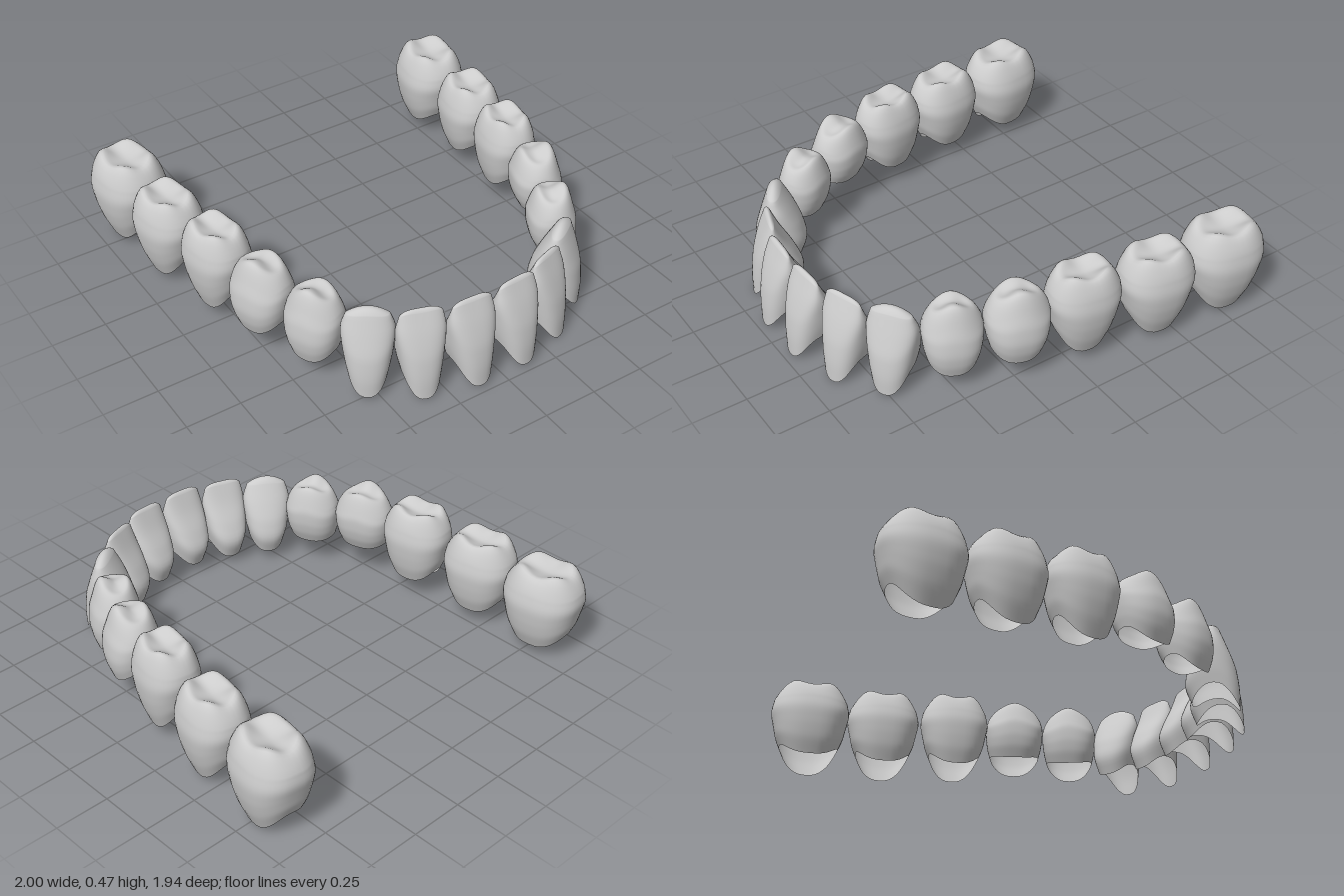
import * as THREE from 'three';
import { mergeVertices } from 'three/addons/utils/BufferGeometryUtils.js';

const SEG = 40;
const V = (w, out, inn) => new THREE.Vector3(w, out, inn);
const bump = (u, v, cu, cv, s) => Math.exp(-((u - cu) ** 2 + (v - cv) ** 2) / s);
const signedPow = (a, p) => Math.sign(a) * Math.abs(a) ** p;

// Per tooth type: cross-sections from neck to biting edge (half width, reach
// outward, reach inward), relief of the biting surface, squareness of outline.
const KINDS = {
  incisor: {
    rows: [V(0.78, 1, 0.78), V(0.91, 0.98, 1), V(0.98, 0.87, 0.74), V(1, 0.62, 0.32), V(0.87, 0.28, -0.02)],
    relief: (u, v) => -0.025 * u ** 4 - 0.014 * v * v,
    power: 0.86,
    sideRise: 0.1,
  },
  canine: {
    rows: [V(0.78, 0.98, 0.78), V(0.91, 1, 1), V(0.98, 0.92, 0.86), V(1, 0.68, 0.54), V(0.83, 0.4, 0.16)],
    relief: (u, v) => -0.035 * u * u - 0.025 * v * v,
    power: 0.88,
    sideRise: 0.1,
  },
  premolar: {
    rows: [V(0.84, 0.74, 0.62), V(0.93, 0.93, 0.85), V(0.98, 1, 0.97), V(1, 0.95, 1), V(0.93, 0.78, 0.89)],
    relief: (u, v) => {
      const r = Math.hypot(u, v);
      return -0.055 + 0.055 * bump(u, v, 0, 0.45, 0.25) + 0.035 * bump(u, v, 0, -0.55, 0.25)
        + 0.018 * bump(r, 0, 0.75, 0, 0.06) - 0.045 * r ** 5;
    },
    power: 0.86,
    sideRise: 0.06,
  },
  molar: {
    rows: [V(0.74, 0.58, 0.64), V(0.87, 0.8, 0.84), V(0.94, 0.94, 0.95), V(1, 1, 1), V(0.95, 0.91, 0.91)],
    relief: (u, v) => {
      const r = Math.hypot(u, v);
      let h = -0.048 + 0.018 * bump(r, 0, 0.75, 0, 0.05) - 0.045 * r ** 6;
      for (const cu of [-0.48, 0.48]) for (const cv of [-0.5, 0.5]) h += 0.038 * bump(u, v, cu, cv, 0.18);
      return h;
    },
    power: 0.85,
    sideRise: 0.1,
  },
};

// Left half of the arch, front to back; the turn is that of the outer face.
const TEETH = [
  { name: 'CentralIncisor', kind: 'incisor', x: 0.112, z: 0.85, turn: 0.06, w: 0.215, d: 0.24, top: 0.415, low: 0.01 },
  { name: 'LateralIncisor', kind: 'incisor', x: 0.315, z: 0.79, turn: 0.32, w: 0.212, d: 0.235, top: 0.41, low: 0.0 },
  { name: 'Canine', kind: 'canine', x: 0.49, z: 0.675, turn: 0.6, w: 0.225, d: 0.235, top: 0.415, low: 0.01 },
  { name: 'FirstPremolar', kind: 'premolar', x: 0.62, z: 0.475, turn: 1.13, w: 0.262, d: 0.225, top: 0.435, low: 0.09 },
  { name: 'SecondPremolar', kind: 'premolar', x: 0.725, z: 0.225, turn: 1.25, w: 0.282, d: 0.238, top: 0.462, low: 0.12 },
  { name: 'FirstMolar', kind: 'molar', x: 0.775, z: -0.075, turn: 1.4, w: 0.33, d: 0.26, top: 0.465, low: 0.06 },
  { name: 'SecondMolar', kind: 'molar', x: 0.825, z: -0.425, turn: 1.4, w: 0.345, d: 0.28, top: 0.44, low: 0.035 },
  { name: 'ThirdMolar', kind: 'molar', x: 0.842, z: -0.785, turn: 1.42, w: 0.37, d: 0.31, top: 0.437, low: 0.02 },
];

// Skin a list of closed rings.
function loft(rings) {
  const pos = rings.flat(2), index = [];
  for (let i = 0; i < rings.length - 1; i++) {
    for (let j = 0; j < SEG; j++) {
      const k = (j + 1) % SEG;
      const a = i * SEG + j, b = i * SEG + k, c = b + SEG, d = a + SEG;
      index.push(a, d, c, a, c, b);
    }
  }
  let geo = new THREE.BufferGeometry();
  geo.setAttribute('position', new THREE.Float32BufferAttribute(pos, 3));
  geo.setIndex(index);
  geo = mergeVertices(geo, 1e-5);
  geo.computeVertexNormals();
  return geo;
}

// A crown shell, open at the neck.
function crownGeometry({ kind, w, d, top, low }) {
  const { rows, relief, power, sideRise } = KINDS[kind];
  const profile = new THREE.CatmullRomCurve3(rows);
  // One ring at level t; k shrinks it to the centre, height(u, v) sets y.
  const ring = (t, k, height) => {
    const s = profile.getPoint(t);
    const mid = (s.y - s.z) / 2, half = (s.y + s.z) / 2;
    return Array.from({ length: SEG }, (_, j) => {
      const a = (j / SEG) * Math.PI * 2;
      const u = k * signedPow(Math.cos(a), power), v = k * signedPow(Math.sin(a), power);
      return [u * s.x * w / 2, height(u, v), (mid + half * v) * d / 2];
    });
  };
  // Scalloped neck line: low on the outer and inner faces, high at the sides.
  const neck = (u, v) => {
    const face = low + (v < 0 ? 0.04 * v * v : 0);
    return face + sideRise * Math.abs(u) ** 2.6;
  };
  const biting = (u, v) => top + relief(u, v);

  const rings = [];
  for (let i = 0; i <= 18; i++) {
    const t = i / 18;
    rings.push(ring(t, 1, (u, v) => THREE.MathUtils.lerp(neck(u, v), biting(u, v), t)));
  }
  for (let i = 1; i <= 14; i++) rings.push(ring(1, 1 - i / 14, biting));
  return loft(rings);
}

export function createModel() {
  const model = new THREE.Group();
  model.name = 'lowerDentalArch';
  const material = new THREE.MeshStandardMaterial({ color: 0xcccccc, side: THREE.DoubleSide });
  for (const spec of TEETH) {
    const geometry = crownGeometry(spec);
    for (const side of [1, -1]) {
      const tooth = new THREE.Mesh(geometry, material);
      tooth.name = (side > 0 ? 'left' : 'right') + spec.name;
      tooth.position.set(side * spec.x, 0, spec.z);
      tooth.rotation.y = side * spec.turn;
      model.add(tooth);
    }
  }
  return model;
}
